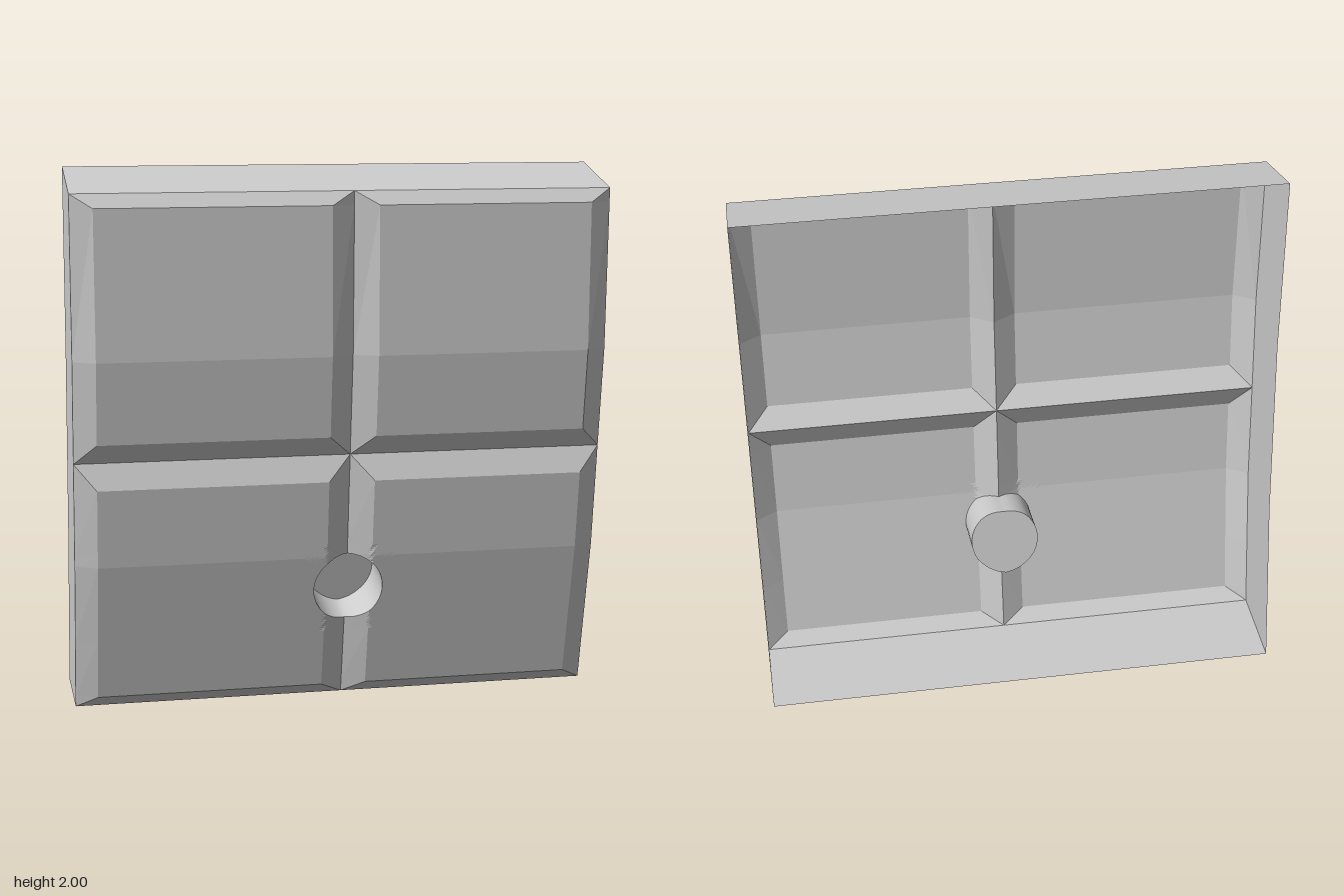
import * as THREE from 'three';
import { toCreasedNormals } from 'three/addons/utils/BufferGeometryUtils.js';

const W = 0.98, HOLE = { x: 0.03, y: 0.44, r: 0.13, half: 0.17 };

// Side profiles as [y, z]
const VALLEY = [[0, 0.025], [0.5675, 0.15], [0.955, 0.2], [1.33, 0.25], [1.92, 0.27]];
const PANEL = [[0.045, 0.075], [0.5675, 0.197], [0.86, 0.237], [1.03, 0.26], [1.33, 0.3], [1.87, 0.305]];
const BACK = [[0.005, -0.305], [0.64, -0.165], [1.33, -0.07], [2, -0.035]];
// Bevel weights: 0 in a groove, 1 on a panel
const ROWS = [[0, 0], [0.045, 1], [0.86, 1], [0.955, 0], [1.03, 1], [1.87, 1], [1.92, 0]];
const COLS = [[-W, 0], [-0.9, 1], [-0.055, 1], [0.03, 0], [0.115, 1], [0.9, 1], [W, 0]];

function lerpTable(table, v) {
  if (v <= table[0][0]) return table[0][1];
  for (let i = 1; i < table.length; i++) {
    const [a, p] = table[i - 1], [b, q] = table[i];
    if (v <= b) return p + (q - p) * (v - a) / (b - a);
  }
  return table[table.length - 1][1];
}

const weight = (x, y) => Math.min(lerpTable(ROWS, y), lerpTable(COLS, x));
function facePoint(x, y) {
  const v = lerpTable(VALLEY, y);
  return [x, y, v + (lerpTable(PANEL, y) - v) * weight(x, y)];
}

function geometryFrom(positions) {
  const g = new THREE.BufferGeometry();
  g.setAttribute('position', new THREE.Float32BufferAttribute(positions, 3));
  g.computeVertexNormals();
  return g;
}

// Counter-clockwise quad, split along a-c or b-d
function quad(out, a, b, c, d, splitBD = false) {
  if (splitBD) out.push(...a, ...b, ...d, ...b, ...c, ...d);
  else out.push(...a, ...b, ...c, ...a, ...c, ...d);
}

// Matching loops: square patch border and round hole rim
function holeLoops() {
  const n = 16, { x, y, r, half } = HOLE, border = [], rim = [];
  for (let side = 0; side < 4; side++) {
    for (let i = 0; i < n; i++) {
      const u = -half + (2 * half * i) / n;
      const [dx, dy] = [[u, -half], [half, u], [-u, half], [-half, -u]][side];
      const l = Math.hypot(dx, dy);
      border.push([x + dx, y + dy]);
      rim.push([x + dx / l * r, y + dy / l * r]);
    }
  }
  return { border, rim };
}

// Four bevelled panels, with a square left out for the hole patch
function panelGeometry() {
  const { x: hx, y: hy, half } = HOLE, out = [];
  const sorted = list => list.sort((a, b) => a - b);
  const xs = sorted([...COLS.map(c => c[0]), hx - half, hx + half]);
  const ys = sorted([...ROWS.map(r => r[0]), 0.5675, 1.33, hy - half, hy + half]);
  for (let i = 0; i < xs.length - 1; i++) {
    for (let j = 0; j < ys.length - 1; j++) {
      const [x0, x1, y0, y1] = [xs[i], xs[i + 1], ys[j], ys[j + 1]];
      const inPatch = Math.abs((x0 + x1) / 2 - hx) < half && Math.abs((y0 + y1) / 2 - hy) < half;
      if (inPatch) continue;
      const mitre = weight(x0, y0) + weight(x1, y1) < weight(x1, y0) + weight(x0, y1) - 1e-6;
      quad(out, facePoint(x0, y0), facePoint(x1, y0), facePoint(x1, y1), facePoint(x0, y1), mitre);
    }
  }
  // Rings from the patch border in to the rim
  const { border, rim } = holeLoops(), steps = 8, n = rim.length;
  const at = (k, s) => {
    const b = border[k % n], r = rim[k % n], t = s / steps;
    return facePoint(b[0] + (r[0] - b[0]) * t, b[1] + (r[1] - b[1]) * t);
  };
  for (let k = 0; k < n; k++) {
    for (let s = 0; s < steps; s++) quad(out, at(k, s), at(k + 1, s), at(k + 1, s + 1), at(k, s + 1));
  }
  return geometryFrom(out);
}

// Round recess, leaning with the lower panels
function cupGeometry() {
  const { rim } = holeLoops(), out = [], slope = 0.235, floor = -0.02, n = rim.length;
  const sink = ([x, y, z]) => {
    const s = (z - slope * (y - HOLE.y) - floor) / 1.024;
    return [x, y + 0.23 * s, z - 0.97 * s];
  };
  const top = rim.map(([x, y]) => facePoint(x, y));
  const low = top.map(sink);
  const centre = [0, 1, 2].map(a => low.reduce((sum, p) => sum + p[a], 0) / n);
  for (let k = 0; k < n; k++) {
    const m = (k + 1) % n;
    quad(out, top[k], top[m], low[m], low[k]);
    out.push(...low[k], ...low[m], ...centre);
  }
  return toCreasedNormals(geometryFrom(out), 0.6);
}

export function createModel() {
  const group = new THREE.Group();
  const flat = new THREE.MeshStandardMaterial({ color: 0xcccccc, flatShading: true, side: THREE.DoubleSide });
  const smooth = new THREE.MeshStandardMaterial({ color: 0xcccccc, side: THREE.DoubleSide });
  const add = (name, geometry, material = flat) => {
    const mesh = new THREE.Mesh(geometry, material);
    mesh.name = name;
    group.add(mesh);
    return mesh;
  };

  add('frontPanels', panelGeometry());
  add('roundRecess', cupGeometry(), smooth);

  // Curved side walls
  const outline = [...VALLEY, ...BACK.slice().reverse()].map(([y, z]) => new THREE.Vector2(z, y));
  for (const [name, x] of [['leftWall', W], ['rightWall', -W]]) {
    const wall = new THREE.ShapeGeometry(new THREE.Shape(outline));
    wall.rotateY(-Math.PI / 2);
    add(name, wall).position.x = x;
  }

  // Top and bottom walls
  const strip = (f, b) => {
    const out = [];
    quad(out, [-W, ...f], [W, ...f], [W, ...b], [-W, ...b]);
    return geometryFrom(out);
  };
  add('topWall', strip(VALLEY[VALLEY.length - 1], BACK[BACK.length - 1]));
  add('bottomWall', strip(VALLEY[0], BACK[0]));
  return group;
}
